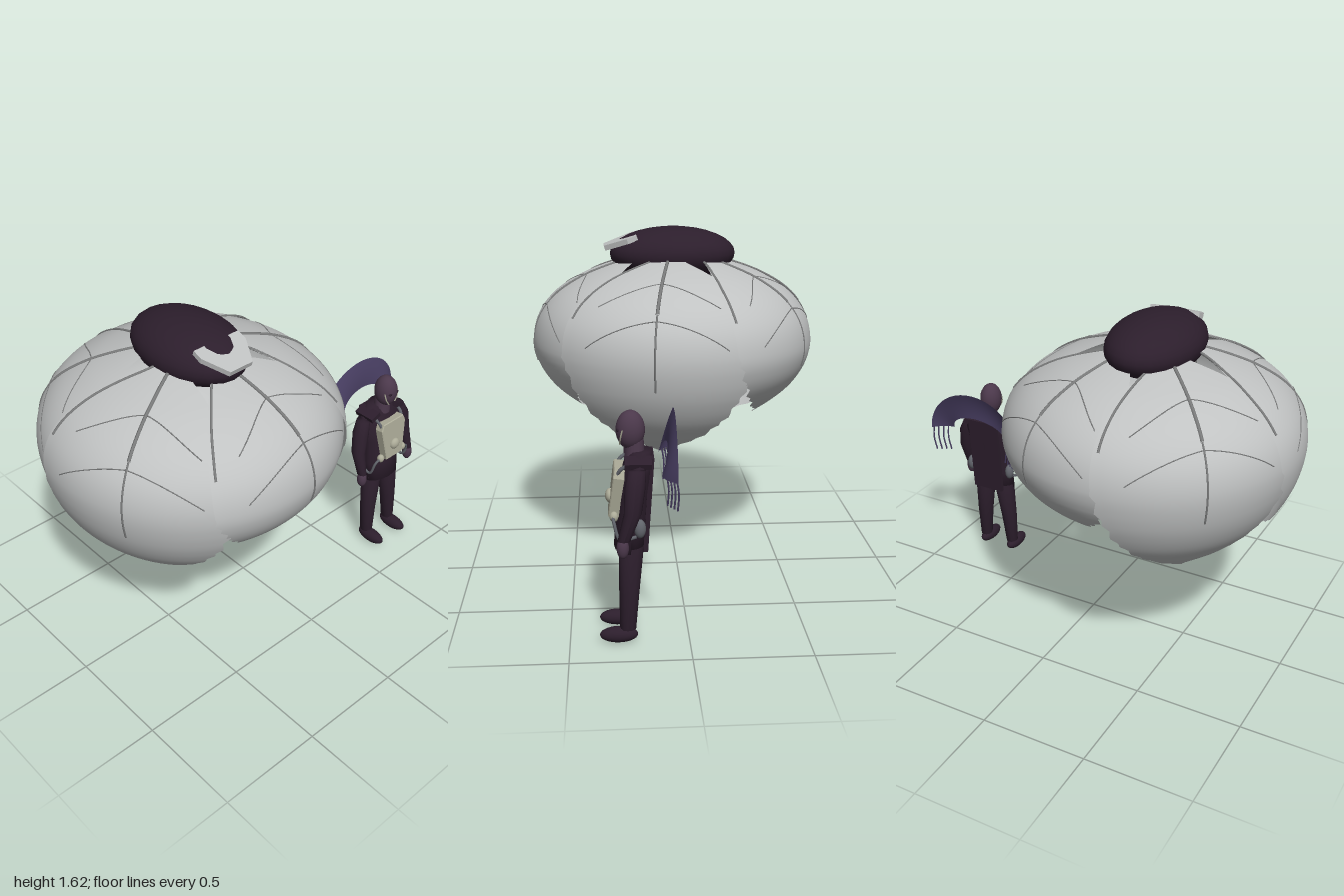
import * as THREE from 'three';

const mat = (name, color, side = THREE.FrontSide) => {
  const m = new THREE.MeshStandardMaterial({ color, side });
  m.name = name;
  return m;
};
const V = (x, y, z) => new THREE.Vector3(x, y, z);

export function createModel() {
  const root = new THREE.Group();
  const shell = mat('petal grey', 0xc0c2c2, THREE.DoubleSide);
  const vein = mat('vein grey', 0x7c7d7d);
  const dark = mat('dark plum', 0x2c1e2c);
  const skin = mat('dusky skin', 0x4b384b);
  const fanMat = mat('fan violet', 0x483e62, THREE.DoubleSide);
  const beige = mat('plate beige', 0xacab98);
  const metal = mat('metal grey', 0x62656c);

  const add = (parent, name, geo, material, x = 0, y = 0, z = 0) => {
    const m = new THREE.Mesh(geo, material);
    m.name = name;
    m.position.set(x, y, z);
    parent.add(m);
    return m;
  };
  const ball = (parent, name, material, p, s) => {
    const m = add(parent, name, new THREE.SphereGeometry(1, 24, 16), material, ...p);
    m.scale.set(...s);
    return m;
  };
  const tube = (parent, name, material, pts, r, n = 20) =>
    add(parent, name, new THREE.TubeGeometry(new THREE.CatmullRomCurve3(pts), n, r, 6), material);

  // Surface from a point rule over u, v in 0..1
  const grid = (nu, nv, fn) => {
    const pos = [], idx = [];
    for (let j = 0; j <= nv; j++)
      for (let i = 0; i <= nu; i++) pos.push(...fn(i / nu, j / nv, j).toArray());
    for (let j = 0; j < nv; j++)
      for (let i = 0; i < nu; i++) {
        const a = j * (nu + 1) + i, b = a + nu + 1;
        idx.push(a, a + 1, b, a + 1, b + 1, b);
      }
    const g = new THREE.BufferGeometry();
    g.setAttribute('position', new THREE.Float32BufferAttribute(pos, 3));
    g.setIndex(idx);
    g.computeVertexNormals();
    return g;
  };
  // Closed body through elliptical rings [x, y, z, halfX, halfZ]
  const loft = (rings, sides = 16) => {
    const caps = [[...rings[0].slice(0, 3), 0, 0], ...rings, [...rings.at(-1).slice(0, 3), 0, 0]];
    return grid(sides, caps.length - 1, (u, v) => {
      const [x, y, z, a, b] = caps[Math.round(v * (caps.length - 1))];
      const t = -u * Math.PI * 2;
      return V(x + a * Math.cos(t), y, z + b * Math.sin(t));
    });
  };

  // ---- Petal canopy ----
  const canopy = new THREE.Group();
  canopy.name = 'canopy';
  canopy.position.x = -0.312;
  root.add(canopy);
  // radius, height, half width in degrees (kept small on the curve so it stays even)
  const profile = new THREE.CatmullRomCurve3([
    [0.17, 1.48, 20], [0.31, 1.44, 33], [0.45, 1.385, 39], [0.58, 1.3, 41], [0.655, 1.2, 41],
    [0.683, 1.08, 40], [0.66, 0.93, 36], [0.6, 0.8, 30], [0.52, 0.7, 20], [0.425, 0.61, 0],
  ].map(([r, y, w]) => V(r, y, w / 400)));
  // drop of each petal below the waist: two are shorter
  [1, 0.72, 1, 1, 0.72].forEach((drop, k) => {
    const petal = new THREE.Group();
    petal.name = 'petal';
    canopy.add(petal);
    const mid = THREE.MathUtils.degToRad(10 + 72 * k);
    const at = (u, t, jag = 0) => {
      const p = profile.getPoint(t);
      const a = mid + u * THREE.MathUtils.degToRad(Math.max(0, p.z * 400 + jag));
      const r = p.x * (1 + 0.01 * u);
      return V(r * Math.cos(a), p.y < 1.08 ? 1.08 - (1.08 - p.y) * drop : p.y, r * Math.sin(a));
    };
    // torn lower edge
    add(petal, 'petalSkin', grid(20, 48, (u, t, j) =>
      at(1 - u * 2, t, t > 0.55 && t < 0.97 ? ((j * 7 + k * 3) % 5 - 2) * 0.6 : 0)), shell);
    const path = (fn, n = 12) => Array.from({ length: n + 1 }, (_, i) => fn(i / n));
    tube(petal, 'midVein', vein, path(s => at(0, s * 0.35)), 0.008);
    tube(petal, 'midVeinLower', vein, path(s => at(0, 0.35 + s * 0.3)), 0.0045);
    tube(petal, 'edgeVein', vein, path(s => at(0.95, s * 0.4)), 0.006);
    for (const side of [-1, 1])
      for (const t0 of [0.2, 0.38])
        tube(petal, 'sideVein', vein, path(s => at(side * 0.7 * s, t0 + 0.1 * s * s + 0.03 * s)), 0.0025);
  });
  // Crown and its brow plate
  ball(canopy, 'crown', dark, [0, 1.49, 0], [0.207, 0.13, 0.305]);
  const brow = new THREE.Shape([[-0.12, -0.17], [-0.12, -0.22], [-0.06, -0.335], [0.06, -0.335],
    [0.12, -0.22], [0.12, -0.17]].map(p => new THREE.Vector2(...p)));
  const browGeo = new THREE.ExtrudeGeometry(brow, { depth: 0.025, bevelEnabled: false });
  browGeo.rotateX(-Math.PI / 2).translate(0, 0, -0.17).rotateX(0.33);
  add(canopy, 'browPlate', browGeo, shell, 0, 1.563, 0.17);

  // ---- Standing figure ----
  const fig = new THREE.Group();
  fig.name = 'figure';
  fig.position.x = 0.738;
  root.add(fig);
  add(fig, 'coat', loft([
    [0, 0.4, 0.245, 0.112, 0.066], [0, 0.5, 0.238, 0.108, 0.068], [0, 0.64, 0.225, 0.118, 0.07],
    [0, 0.74, 0.212, 0.14, 0.064], [0, 0.785, 0.2, 0.11, 0.055], [0, 0.815, 0.195, 0.06, 0.045]]), dark);
  const back = add(fig, 'backPanel', new THREE.BoxGeometry(0.17, 0.4, 0.02), dark, 0, 0.6, 0.168);
  back.rotation.x = -0.07;
  for (const s of [-1, 1]) {
    // Leg, foot and arm
    add(fig, 'leg', loft([
      [s * 0.083, 0.06, 0.258, 0.029, 0.034], [s * 0.076, 0.22, 0.25, 0.04, 0.041],
      [s * 0.058, 0.42, 0.24, 0.053, 0.052]], 12), dark);
    ball(fig, 'foot', dark, [s * 0.084, 0.035, 0.296], [0.034, 0.034, 0.08]);
    add(fig, 'sleeve', loft([
      [s * 0.173, 0.485, 0.272, 0.022, 0.026], [s * 0.168, 0.6, 0.235, 0.034, 0.036],
      [s * 0.15, 0.7, 0.225, 0.04, 0.042], [s * 0.125, 0.765, 0.215, 0.03, 0.036]], 12), dark);
    ball(fig, 'hand', skin, [s * 0.174, 0.455, 0.277], [0.024, 0.045, 0.025]);
    const pad = add(fig, 'shoulderPad', new THREE.BoxGeometry(0.06, 0.025, 0.11), dark, s * 0.088, 0.785, 0.21);
    pad.rotation.z = s * -0.35;
    // Hip canister, hose and shoulder strap
    ball(fig, 'canister', metal, [s * 0.118, 0.515, 0.205], [0.022, 0.04, 0.024]);
    tube(fig, 'hose', metal, [V(s * 0.07, 0.56, 0.315), V(s * 0.115, 0.54, 0.31),
      V(s * 0.125, 0.47, 0.285), V(s * 0.118, 0.48, 0.22)], 0.007);
    tube(fig, 'strap', metal, [V(s * 0.07, 0.72, 0.3), V(s * 0.08, 0.755, 0.28), V(s * 0.085, 0.775, 0.25)], 0.008);
    ball(fig, 'chestPod', beige, [s * 0.08, 0.555, 0.31], [0.018, 0.022, 0.018]);
    // Face markings and eyes
    tube(fig, 'cheekMark', beige, [V(s * 0.046, 0.91, 0.271), V(s * 0.04, 0.875, 0.279),
      V(s * 0.022, 0.845, 0.282)], 0.0035, 8);
    ball(fig, 'eye', dark, [s * 0.022, 0.905, 0.288], [0.012, 0.007, 0.007]);
  }
  ball(fig, 'head', skin, [0, 0.9, 0.238], [0.054, 0.082, 0.06]);
  add(fig, 'neck', new THREE.CylinderGeometry(0.038, 0.042, 0.09, 16), skin, 0, 0.82, 0.222);

  // Chest plate with round valve
  const chest = new THREE.Shape([[-0.055, 0], [0.055, 0], [0.083, 0.17], [0.07, 0.2], [-0.07, 0.2],
    [-0.083, 0.17]].map(p => new THREE.Vector2(...p)));
  const plate = add(fig, 'chestPlate', new THREE.ExtrudeGeometry(chest, {
    depth: 0.04, bevelEnabled: true, bevelSize: 0.004, bevelThickness: 0.004, bevelSegments: 1,
  }), beige, 0, 0.545, 0.29);
  plate.rotation.x = -0.13;
  ball(fig, 'valve', beige, [0, 0.62, 0.325], [0.03, 0.03, 0.02]);

  // Dished head fan with hanging tendrils
  add(fig, 'fan', grid(48, 8, (u, v) => {
    const a = u * Math.PI;
    const rx = 0.155 + 0.103 * v, ry = 0.09 + 0.14 * v;
    const inner = 0.117 - 0.03 * Math.sin(a);
    return V(rx * Math.cos(a), 0.75 + ry * Math.sin(a), inner + (0.059 - inner) * v * v);
  }), fanMat);
  for (const s of [-1, 1])
    for (let i = 0; i < 4; i++) {
      const x = s * (0.247 - i * 0.022), z = 0.064 + i * 0.012;
      tube(fig, 'tendril', fanMat, [V(x, 0.76, z), V(x - s * 0.002, 0.7, z - 0.008),
        V(x - s * 0.014, 0.63, z - 0.004)], 0.004, 10);
    }
  return root;
}
